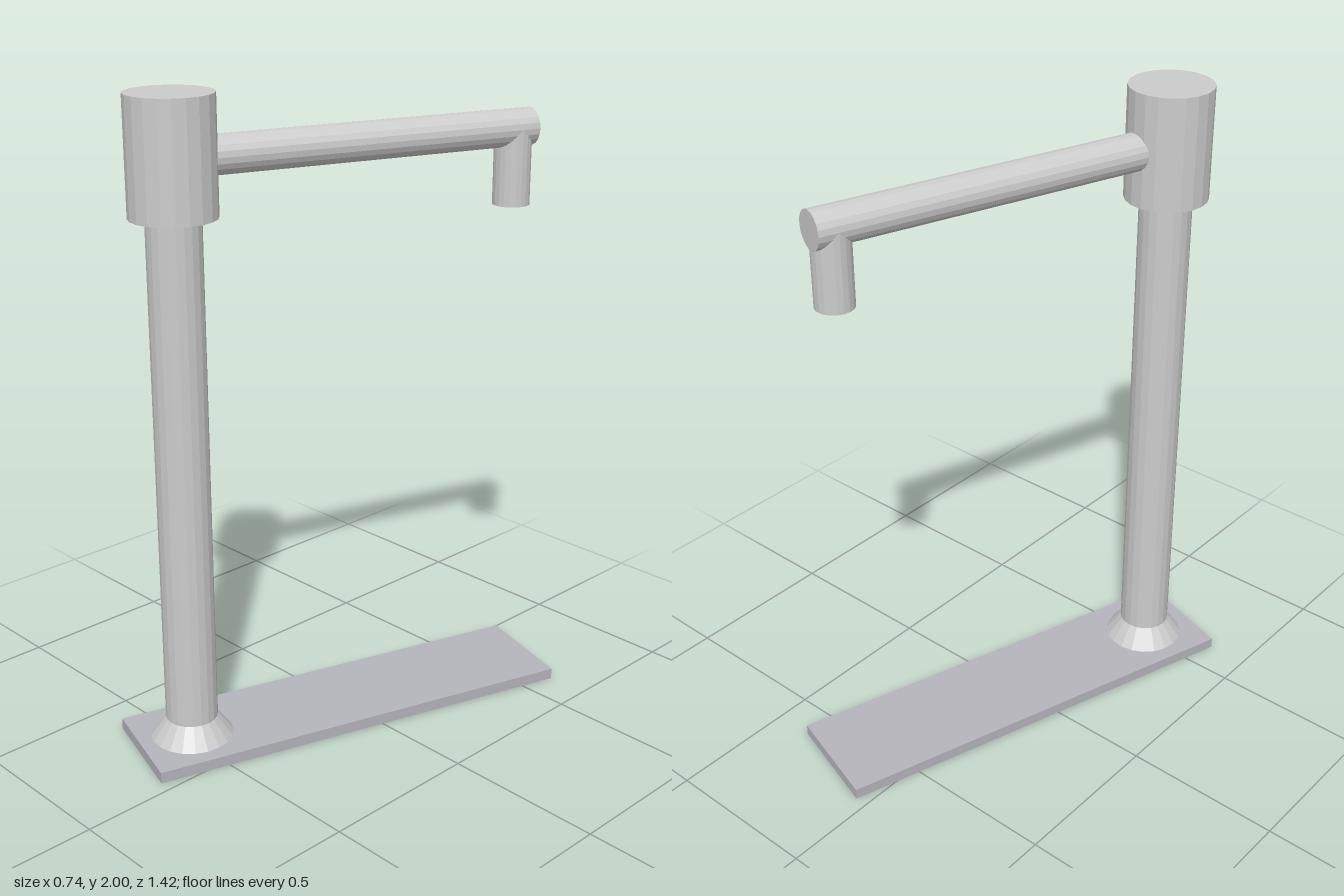
import * as THREE from 'three';

export function createModel() {
  const model = new THREE.Group();
  const metal = new THREE.MeshStandardMaterial({ color: 0xcccccc, flatShading: true });
  const plate = new THREE.MeshStandardMaterial({ color: 0xb5b4bc });
  const SIDES = 20;
  const postZ = 0.522, armY = 1.82, armEnd = -0.632;

  const add = (name, geometry, material, x, y, z) => {
    const mesh = new THREE.Mesh(geometry, material);
    mesh.name = name;
    mesh.position.set(x, y, z);
    model.add(mesh);
    return mesh;
  };
  // Upright round part between two heights
  const upright = (name, rTop, rBottom, y0, y1, z) =>
    add(name, new THREE.CylinderGeometry(rTop, rBottom, y1 - y0, SIDES), metal, 0, (y0 + y1) / 2, z);

  // Flat base plate
  add('basePlate', new THREE.BoxGeometry(0.345, 0.035, 1.382), plate, 0, 0.0175, 0);

  // Post with flared foot and thick head
  upright('foot', 0.08, 0.127, 0.035, 0.1, postZ);
  upright('post', 0.08, 0.08, 0.1, 1.66, postZ);
  upright('head', 0.127, 0.127, 1.657, 2, postZ);

  // Horizontal arm, starting inside the head
  const length = postZ - armEnd;
  const arm = add('arm', new THREE.CylinderGeometry(0.057, 0.057, length, SIDES), metal,
    0, armY, (postZ + armEnd) / 2);
  arm.rotation.x = -Math.PI / 2;

  // Spout hanging from the far end of the arm
  upright('spout', 0.057, 0.057, 1.587, armY, -0.573);

  // The whole fixture is turned about the vertical axis
  model.rotation.y = -0.302;
  return model;
}
